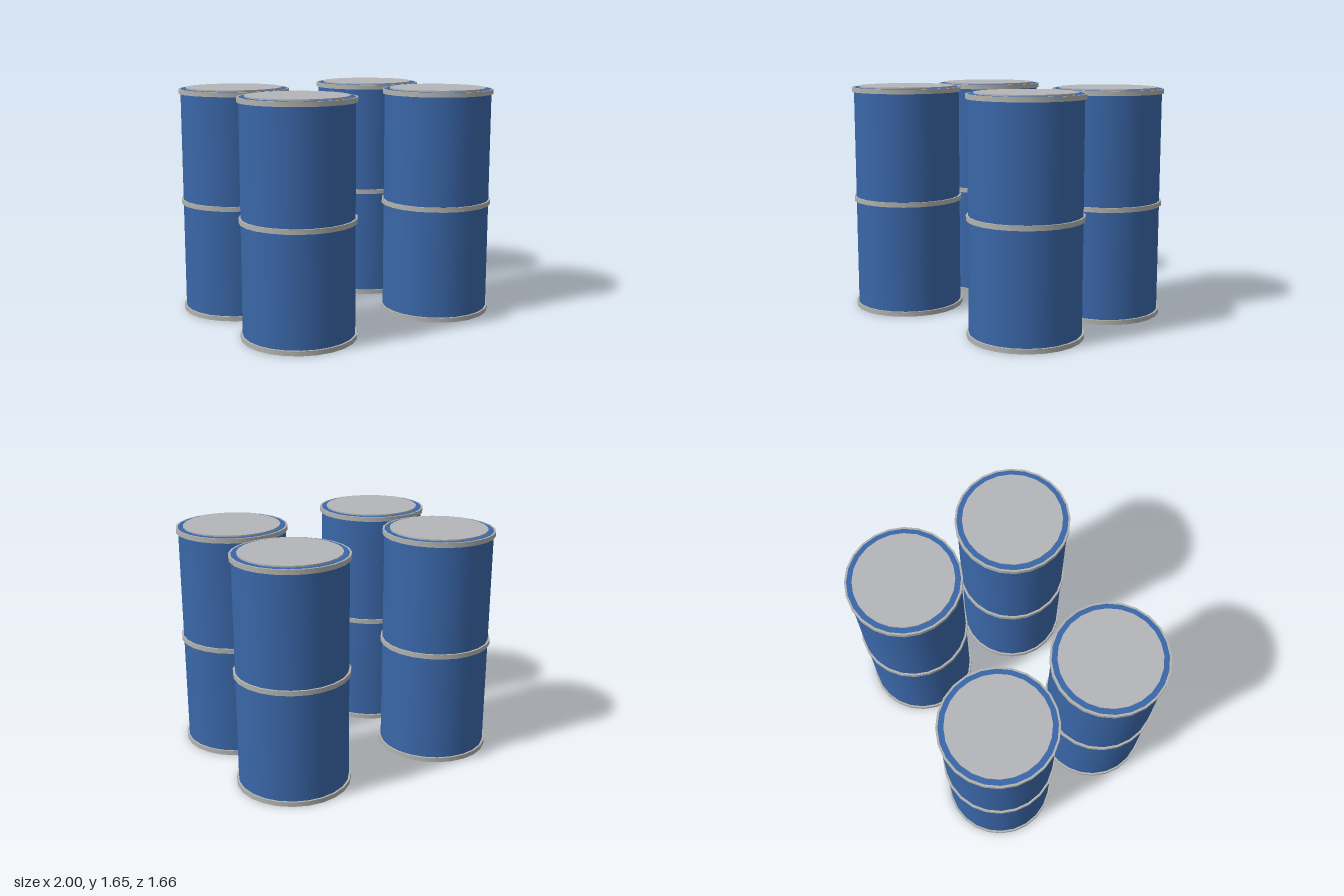
import * as THREE from 'three';
import { toCreasedNormals } from 'three/addons/utils/BufferGeometryUtils.js';

const SIDES = 24;
const BODY_R = 0.386, HOOP_R = 0.4, HOOP_H = 0.033, HEIGHT = 1.64;

function material(name, color) {
  const m = new THREE.MeshStandardMaterial({ color });
  m.name = name;
  return m;
}

function part(name, geometry, mat, y) {
  const mesh = new THREE.Mesh(geometry, mat);
  mesh.name = name;
  mesh.position.y = y;
  return mesh;
}

export function createModel() {
  const blue = material('blue paint', 0x3a67a9);
  const steel = material('hoop steel', 0xb2b2ae);
  const lidGrey = material('lid grey', 0xb3b5b9);

  const bodyGeo = new THREE.CylinderGeometry(BODY_R, BODY_R, HEIGHT, SIDES);
  const lidGeo = new THREE.CylinderGeometry(0.348, 0.348, 0.02, SIDES);
  // Hoop cross-section, open on the side that meets the body
  const hoopGeo = toCreasedNormals(new THREE.LatheGeometry([
    new THREE.Vector2(BODY_R, 0),
    new THREE.Vector2(HOOP_R, 0),
    new THREE.Vector2(HOOP_R, HOOP_H),
    new THREE.Vector2(BODY_R, HOOP_H),
  ], SIDES), 0.6);

  const model = new THREE.Group();
  model.name = 'barrels';
  for (const x of [-0.6, 0.6]) {
    for (const z of [-0.432, 0.432]) {
      const barrel = new THREE.Group();
      barrel.name = 'barrel';
      barrel.add(part('body', bodyGeo, blue, HEIGHT / 2));
      // Lid stands slightly proud of the rim
      barrel.add(part('lid', lidGeo, lidGrey, HEIGHT));
      barrel.add(part('bottomHoop', hoopGeo, steel, 0));
      barrel.add(part('middleHoop', hoopGeo, steel, (HEIGHT - HOOP_H) / 2));
      barrel.add(part('topHoop', hoopGeo, steel, HEIGHT - HOOP_H));
      barrel.position.set(x, 0, z);
      model.add(barrel);
    }
  }
  return model;
}
